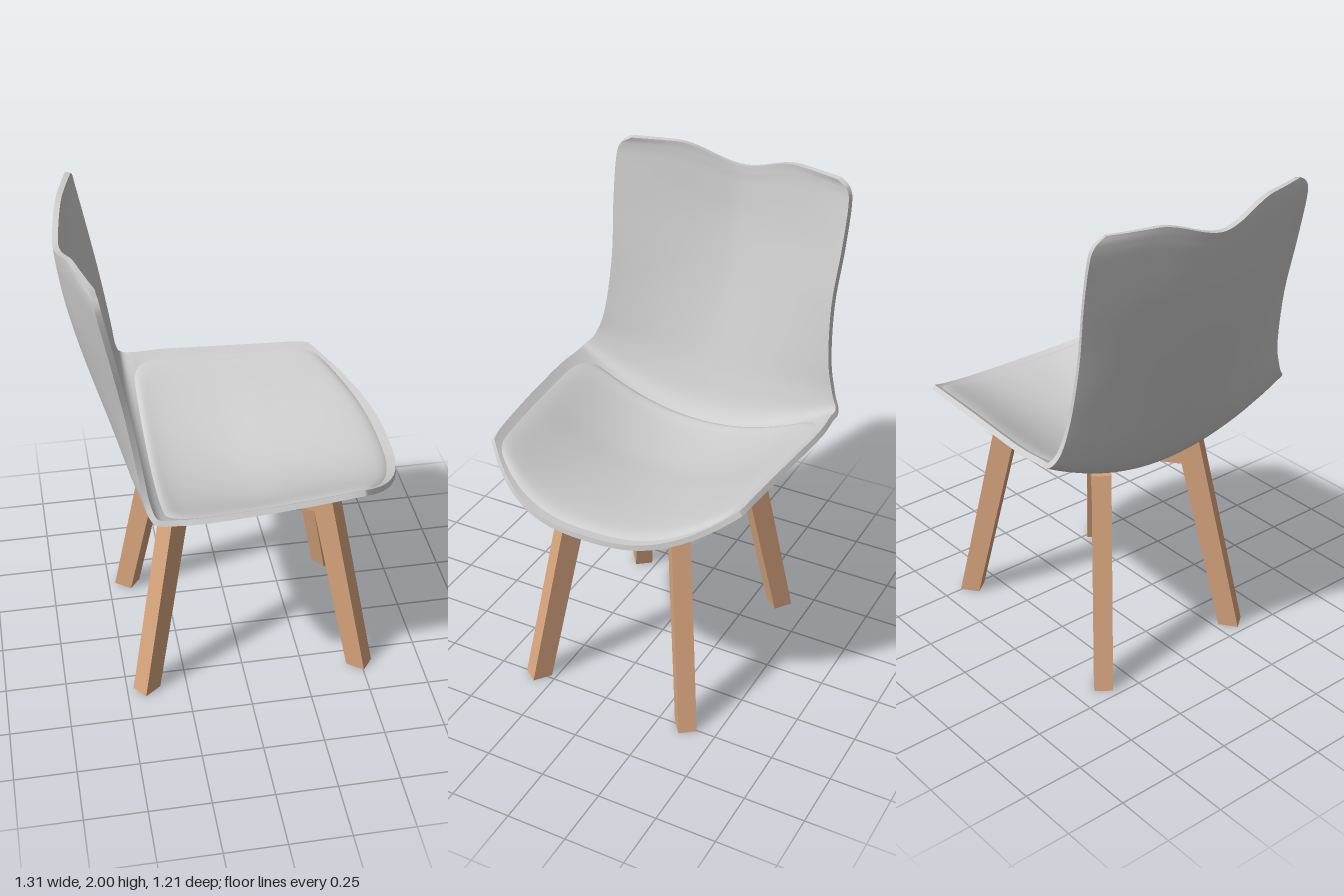
import * as THREE from 'three';
import { ParametricGeometry } from 'three/addons/geometries/ParametricGeometry.js';

const HALF_THICKNESS = 0.011;
const V3 = (x, y, z) => new THREE.Vector3(x, y, z);

// Shell stations from the front lip, along the seat and up the back:
// centre x, y, curve power | side edge x, y, half width
const stations = [
  [0.652, 0.914, 2.6, 0.43, 1.065, 0.54],
  [0.45, 0.895, 2.3, 0.36, 1.07, 0.552],
  [0.2, 0.862, 2, 0.2, 1.07, 0.568],
  [0, 0.842, 2, 0, 1.07, 0.585],
  [-0.2, 0.85, 2, -0.2, 1.07, 0.598],
  [-0.32, 0.875, 2, -0.32, 1.07, 0.592],
  [-0.39, 0.935, 2, -0.385, 1.08, 0.588],
  [-0.443, 1.06, 1.8, -0.412, 1.14, 0.55],
  [-0.495, 1.22, 1.6, -0.43, 1.27, 0.515],
  [-0.57, 1.48, 1.5, -0.465, 1.5, 0.5],
  [-0.62, 1.7, 1.5, -0.505, 1.72, 0.512],
  [-0.642, 1.85, 1.5, -0.54, 1.9, 0.515],
  [-0.647, 1.9, 1.5, -0.552, 1.965, 0.5],
  [-0.65, 1.93, 1.5, -0.56, 1.997, 0.455],
];
const LAST = stations.length - 1;
const spline = (points) => new THREE.CatmullRomCurve3(points, false, 'catmullrom', 0.5);
const centreLine = spline(stations.map((s) => V3(s[0], s[1], s[2])));
const edgeLine = spline(stations.map((s) => V3(s[3], s[4], s[5])));

// Middle surface: u runs across (-1..1), v along the stations (0..1)
function middle(u, v) {
  const c = centreLine.getPoint(v), e = edgeLine.getPoint(v);
  const s = v * LAST, a = Math.abs(u);
  const fx = Math.pow(a, c.z);
  const wave = THREE.MathUtils.smoothstep(a, 0, 0.6);
  const fy = THREE.MathUtils.lerp(fx, wave, THREE.MathUtils.smoothstep(s, 7, 11));
  const shift = -0.015 * THREE.MathUtils.smoothstep(s, 5, 8)
    - 0.012 * (1 - THREE.MathUtils.smoothstep(s, 0, 3));
  return V3(c.x + (e.x - c.x) * fx, c.y + (e.y - c.y) * fy, u * e.z + shift);
}

// Point at a distance from the middle surface, positive towards the sitter
function offset(u, v, d) {
  const h = 1e-3;
  const du = middle(u + h, v).sub(middle(u - h, v));
  const dv = middle(u, Math.min(v + h, 1)).sub(middle(u, Math.max(v - h, 0)));
  return middle(u, v).addScaledVector(dv.cross(du).normalize(), d);
}

// Walk round the shell's border
function border(q) {
  const t = Math.min(q, 1) * 4, k = Math.min(3, Math.floor(t)), f = t - k;
  return [[-1 + 2 * f, 0], [1, f], [1 - 2 * f, 1], [-1, 1 - f]][k];
}

export function createModel() {
  const shellGrey = new THREE.MeshStandardMaterial({ color: 0xcecece, side: THREE.DoubleSide });
  shellGrey.name = 'shellGrey';
  const wood = new THREE.MeshStandardMaterial({ color: 0xd9a67e });
  wood.name = 'wood';

  const model = new THREE.Group();
  model.name = 'chair';
  const add = (name, geometry, material) => {
    const mesh = new THREE.Mesh(geometry, material);
    mesh.name = name;
    model.add(mesh);
    return mesh;
  };

  // Bucket shell: underside, sitting side and rim
  const N = 65;
  add('shellOutside', new ParametricGeometry((u, v, p) =>
    p.copy(offset(2 * u - 1, v, -HALF_THICKNESS)), N, N), shellGrey);
  add('shellInside', new ParametricGeometry((u, v, p) =>
    p.copy(offset(1 - 2 * u, v, HALF_THICKNESS)), N, N), shellGrey);
  add('shellRim', new ParametricGeometry((q, w, p) => {
    const [u, v] = border(q);
    p.copy(offset(u, v, HALF_THICKNESS * (1 - 2 * w)));
  }, 4 * N, 1), shellGrey);

  // Seat pad: a low cushion inset from the rim, rounded at its corners
  add('seatPad', new ParametricGeometry((a, b, p) => {
    const across = 1 - 2 * a;
    const reach = 0.955 - 0.12 * Math.pow(b, 14) - 0.05 * Math.pow(1 - b, 20);
    const v = (0.17 + 5.08 * b) / LAST;
    const puff = (1 - Math.pow(Math.abs(across), 14)) * (1 - Math.pow(Math.abs(2 * b - 1), 18));
    p.copy(offset(across * reach, v, HALF_THICKNESS - 0.003 + 0.02 * puff));
  }, 60, 60), shellGrey);

  // Two crossing leg frames, each a pair of splayed legs joined by a bar
  const frame = new THREE.Shape();
  frame.moveTo(-0.613, 0);
  frame.lineTo(-0.53, 0);
  frame.lineTo(-0.355, 0.76);
  frame.lineTo(0.355, 0.76);
  frame.lineTo(0.53, 0);
  frame.lineTo(0.613, 0);
  frame.lineTo(0.422, 0.878);
  frame.lineTo(0.36, 0.868);
  frame.quadraticCurveTo(0.16, 0.831, 0, 0.831);
  frame.quadraticCurveTo(-0.16, 0.831, -0.36, 0.868);
  frame.lineTo(-0.422, 0.878);
  frame.closePath();
  const depth = 0.075;
  const frameGeometry = new THREE.ExtrudeGeometry(frame, { depth, bevelEnabled: false, curveSegments: 8 });
  frameGeometry.translate(0, 0, -depth / 2);
  for (const side of [1, -1]) {
    const legs = add(side > 0 ? 'legFrameA' : 'legFrameB', frameGeometry, wood);
    legs.position.set(0.038, 0, -0.02);
    legs.rotation.y = side * 0.65;
  }
  return model;
}
